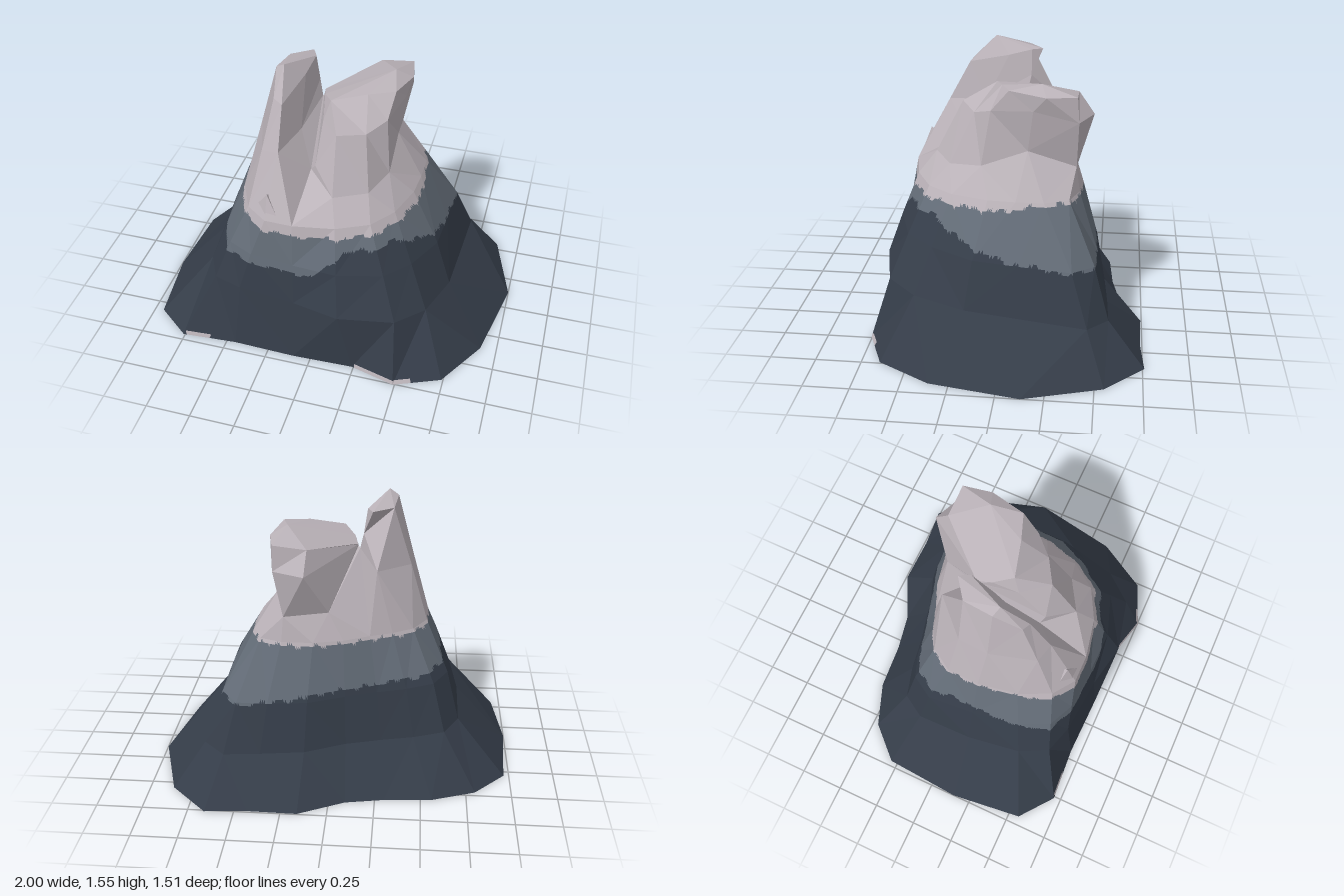
import * as THREE from 'three';

const make = (name, color) =>
  new THREE.MeshStandardMaterial({ name, color, flatShading: true, side: THREE.DoubleSide });

// Plan outlines of the mountain as x, z pairs, running from +x round through +z
const foot = [1, -.13, .91, .36, .74, .65, .49, .755, .24, .69, -.1, .7, -.45, .69, -.76, .71, -.95, .56, -1, .15,
  -.97, -.29, -.8, -.47, -.56, -.56, -.3, -.58, -.09, -.62, .16, -.745, .43, -.74, .66, -.76, .87, -.55];
const ledge = [.69, -.1, .68, .2, .6, .48, .46, .64, .16, .71, -.1, .66, -.42, .63, -.58, .58, -.66, .42, -.7, .12,
  -.7, -.2, -.62, -.33, -.45, -.38, -.27, -.41, -.08, -.45, .14, -.53, .38, -.55, .58, -.56, .7, -.45];
const shoulder = [.44, -.05, .43, .1, .37, .3, .27, .44, .1, .53, -.12, .575, -.27, .575, -.39, .49, -.47, .32, -.51, .1,
  -.505, -.08, -.43, -.2, -.32, -.26, -.2, -.3, -.06, -.36, .1, -.39, .27, -.38, .39, -.33, .44, -.2];

const V = (x, y, z) => new THREE.Vector3(x, y, z);
const triples = (list) => list.map((p) => V(...p));

// Lift a plan outline to a height given by a rule
function ring(plan, height) {
  const out = [];
  for (let i = 0; i < plan.length; i += 2) out.push(V(plan[i], height(plan[i], plan[i + 1]), plan[i + 1]));
  return out;
}

// Zip two closed rings of any size together along the shorter diagonals
function bridge(low, up) {
  const tris = [];
  const at = (list, k) => list[k % list.length];
  for (let i = 0, j = 0; i < low.length || j < up.length;) {
    const a = at(low, i), b = at(low, i + 1), c = at(up, j), d = at(up, j + 1);
    if (j === up.length || (i < low.length && b.distanceTo(c) < a.distanceTo(d))) {
      tris.push([a, c, b]);
      i++;
    } else {
      tris.push([a, c, d]);
      j++;
    }
  }
  return tris;
}

// Skin a stack of rings
const loft = (rings) => rings.slice(1).flatMap((up, r) => bridge(rings[r], up));

function meshOf(name, tris, material) {
  const geometry = new THREE.BufferGeometry().setFromPoints(tris.flat());
  geometry.computeVertexNormals();
  const mesh = new THREE.Mesh(geometry, material);
  mesh.name = name;
  return mesh;
}

// Split each triangle into four, several times, so colour borders can be ragged
function subdivide(tris, times) {
  for (; times > 0; times--) {
    tris = tris.flatMap(([a, b, c]) => {
      const ab = a.clone().lerp(b, .5), bc = b.clone().lerp(c, .5), ca = c.clone().lerp(a, .5);
      return [[a, ab, ca], [ab, b, bc], [ca, bc, c], [ab, bc, ca]];
    });
  }
  return tris;
}

// Border heights against compass angle in degrees
const lowBorder = [[-180, .67], [-150, .62], [-130, .6], [-80, .57], [-40, .5], [0, .56], [25, .64], [45, .72], [75, .72], [90, .57], [130, .57], [165, .64], [180, .67]];
const highBorder = [[-180, .85], [-90, .83], [-20, .82], [0, .79], [90, .79], [120, .8], [150, .85], [180, .85]];
function borderAt(keys, angle) {
  const k = Math.max(1, keys.findIndex(([a]) => a >= angle));
  const [a0, h0] = keys[k - 1], [a1, h1] = keys[k];
  return THREE.MathUtils.mapLinear(angle, a0, a1, h0, h1) + .006 * Math.sin(angle * .7) + .006 * Math.sin(angle * .31);
}

export function createModel() {
  const group = new THREE.Group();
  const dark = make('darkRock', 0x353d49);
  const grey = make('greyRock', 0x636c77);
  const pale = make('paleRock', 0xbab2b8);

  // Hollow mountain body, open underneath
  const waist = ledge.map((v, i) => THREE.MathUtils.lerp(v, shoulder[i], i > 3 && i < 20 ? .47 : .36));
  const rim = ring(shoulder, (x) => .85 - .03 * x);
  const body = loft([
    ring(foot, () => 0),
    ring(ledge, (x, z) => .31 + .1 * z - .03 * x),
    ring(waist, (x, z) => .57 + .07 * z - .04 * x),
    rim,
  ]);

  // Sort the body into three bands of rock, with pale chips at the front foot
  const bands = { dark: [], grey: [], pale: [] };
  for (const t of subdivide(body, 4)) {
    const [x, y, z] = ['x', 'y', 'z'].map((k) => (t[0][k] + t[1][k] + t[2][k]) / 3);
    const angle = Math.atan2(z, x) * 180 / Math.PI;
    const chip = y < .018 && z > .6 && ((x > .25 && x < .58) || (x > -.74 && x < -.6));
    const band = chip || y > borderAt(highBorder, angle) ? 'pale' : y > borderAt(lowBorder, angle) ? 'grey' : 'dark';
    bands[band].push(t);
  }
  group.add(
    meshOf('lowerSlope', bands.dark, dark),
    meshOf('middleBand', bands.grey, grey),
    meshOf('upperSlope', bands.pale, pale),
  );

  // Floor of the cleft, shared by the two peaks that stand on the rim
  const saddle = V(-.13, 1.27, -.06), gully = V(-.1, 1.02, .28);

  // Tall narrow peak on the right side of the rim
  const tallTop = triples([[-.25, 1.4, .28], [-.3, 1.42, .26], [-.33, 1.52, .11], [-.31, 1.5, -.06], [-.2, 1.5, -.14], [-.17, 1.5, -.08], [-.19, 1.46, .05]]);
  group.add(meshOf('tallPeak', loft([
    [...rim.slice(5, 14), saddle, gully],
    triples([[-.24, 1.18, .4], [-.34, 1.16, .37], [-.42, 1.18, .12], [-.41, 1.18, -.05], [-.23, 1.2, -.23], [-.15, 1.36, -.08], [-.18, 1.2, .18]]),
    tallTop,
    [V(-.28, 1.55, .13)],
  ]), pale));

  // Broad overhanging peak on the left side of the rim
  group.add(meshOf('broadPeak', loft([
    [...rim.slice(13), ...rim.slice(0, 6), gully, saddle],
    triples([[.02, 1, -.33], [.26, .98, -.36], [.29, 1.07, -.1], [.3, .98, .15], [.23, .96, .33], [.06, .97, .43], [-.07, 1.06, .3], [-.12, 1.28, -.05]]),
    triples([[.14, 1.24, -.445], [.31, 1.24, -.37], [.32, 1.3, -.13], [.27, 1.28, .1], [.18, 1.24, .2], [.04, 1.26, .28], [-.07, 1.25, .14], [-.12, 1.29, -.06]]),
    triples([[.13, 1.36, -.36], [.31, 1.38, -.36], [.34, 1.38, -.2], [.29, 1.4, 0], [.15, 1.39, .05], [-.04, 1.35, .1], [-.1, 1.32, 0], [-.12, 1.3, -.08]]),
    [V(.25, 1.43, -.17)],
  ]), pale));

  // Small spur at the front foot of the tall peak
  group.add(meshOf('frontSpur', bridge(
    triples([[-.18, .84, .575], [-.27, .84, .575], [-.37, .85, .49], [-.26, .95, .45]]),
    [V(-.27, .99, .52)],
  ), pale));

  return group;
}
